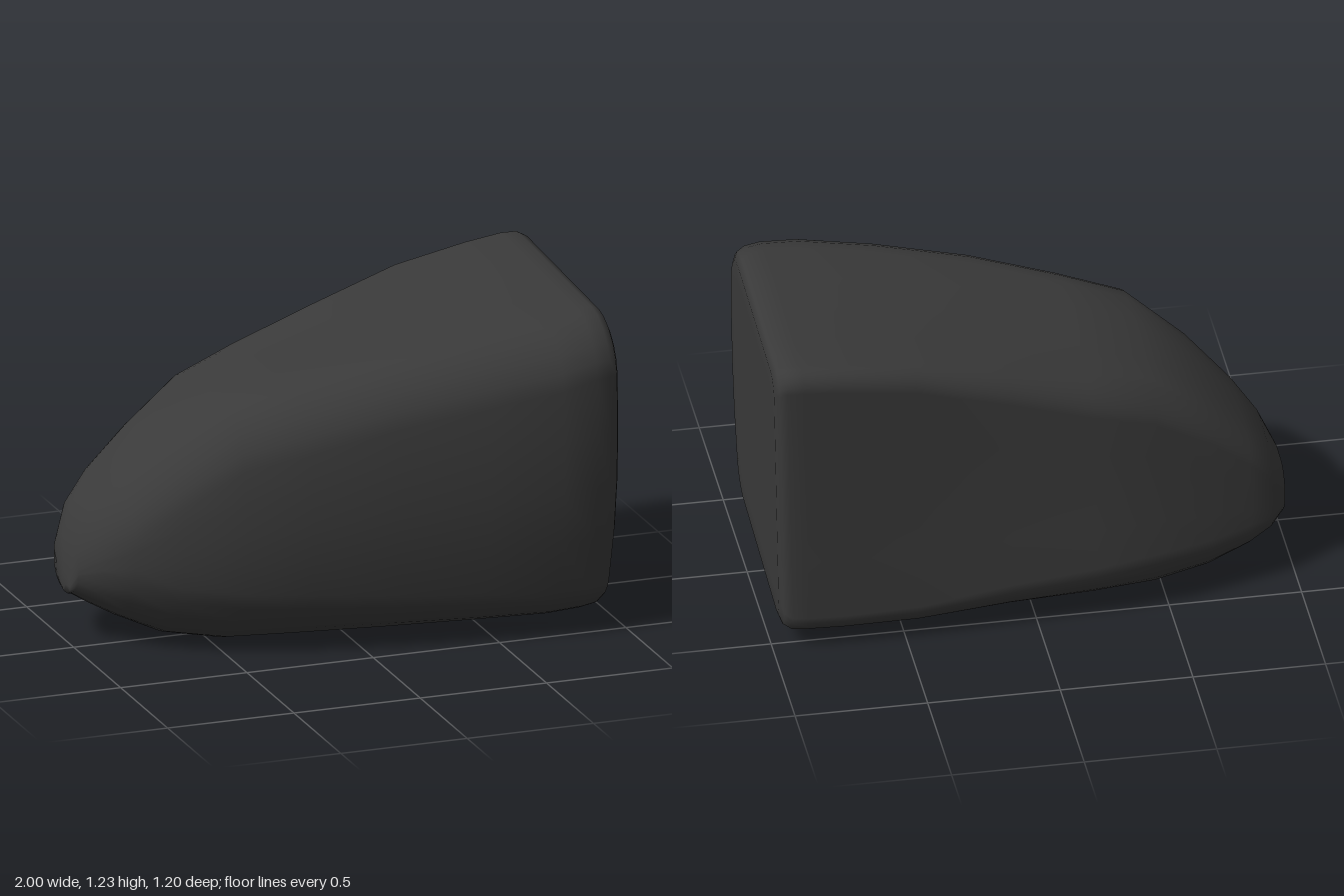
import * as THREE from 'three';

// Cross-sections along x: [x, bottom, top, back z, front z, front radius, back lean]
const SECTIONS = [
  [-1.00, 0.19, 0.25, -0.13, -0.04, 0.028, 0.00],
  [-0.98, 0.18, 0.39, -0.27, 0.00, 0.09, 0.01],
  [-0.92, 0.145, 0.515, -0.36, 0.10, 0.15, 0.03],
  [-0.83, 0.10, 0.63, -0.42, 0.20, 0.19, 0.05],
  [-0.67, 0.03, 0.80, -0.475, 0.295, 0.22, 0.08],
  [-0.46, 0.00, 0.965, -0.545, 0.39, 0.23, 0.10],
  [-0.22, 0.012, 1.03, -0.572, 0.457, 0.23, 0.08],
  [0.10, 0.03, 1.11, -0.574, 0.522, 0.22, 0.05],
  [0.45, 0.05, 1.18, -0.575, 0.57, 0.22, 0.01],
  [0.73, 0.06, 1.217, -0.573, 0.60, 0.21, -0.02],
  [0.87, 0.063, 1.235, -0.57, 0.577, 0.20, -0.03],
  [0.93, 0.068, 1.235, -0.568, 0.56, 0.20, -0.03],
  [0.96, 0.085, 1.22, -0.555, 0.54, 0.19, -0.03],
  [0.975, 0.12, 1.19, -0.52, 0.505, 0.17, -0.03],
];

// One rounded rectangle ring, with a bowed front, rounded belly and leaning back
function ring([x, y0, y1, z0, z1, rf, lean]) {
  const h = y1 - y0, w = z1 - z0, raw = [];
  // where the back leans in, its edges are softer, its top drops and the belly is rounder
  const soft = 0.87 * Math.max(0, lean);
  const rfLow = rf * (0.8 - 0.25 * x);
  const rb = Math.min(rf, 0.08 + 0.6 * soft);
  const rbLow = Math.min(rf, 0.08 + soft);
  // corner: side signs (z, y), radius, starting quarter
  const corners = [[1, 1, rf, 0], [-1, 1, rb, 1], [-1, -1, rbLow, 2], [1, -1, rfLow, 3]];
  for (const [sz, sy, r, q] of corners) {
    for (let i = 0; i <= 5; i++) {
      const a = (q + i / 5) * Math.PI / 2;
      raw.push([(sz > 0 ? z1 - r : z0 + r) + r * Math.cos(a),
        (sy > 0 ? y1 - r : y0 + r) + r * Math.sin(a)]);
    }
  }
  // add points along the straight sides
  const pts = [];
  raw.forEach((p, i) => {
    pts.push(p);
    if (i % 6 === 5) {
      const n = raw[(i + 1) % raw.length];
      for (const t of [0.25, 0.5, 0.75]) {
        pts.push([p[0] + (n[0] - p[0]) * t, p[1] + (n[1] - p[1]) * t]);
      }
    }
  });
  const slope = 0.02 + 0.015 * x;
  return pts.map(([z, y]) => {
    const u = (z - z0) / w, v = (y - y0) / h;
    const bow = (v < 0.5 ? 0.085 : 0.05) * h * Math.pow(2 * v - 1, 2) * u;
    const py = y + soft * Math.pow(2 * u - 1.15, 2) * (1 - v)
      - slope * w * u * v - soft * Math.pow(1 - u, 2) * v;
    const pz = z - bow + lean * v * (1 - u);
    const tilt = Math.max(0, x) * (0.014 * (py - 0.6) / 0.6 - 0.012 * pz / 0.6);
    return new THREE.Vector3(x + tilt, py, pz);
  });
}

const centre = (r) =>
  r.reduce((m, p) => m.add(p), new THREE.Vector3()).divideScalar(r.length);

// Skin the rings and close both ends
function loft(rings) {
  const pos = [], index = [], n = rings[0].length;
  const add = (p) => pos.push(p.x, p.y, p.z) / 3 - 1;
  rings.forEach((r) => r.forEach(add));
  for (let s = 0; s < rings.length - 1; s++) {
    for (let i = 0; i < n; i++) {
      const a = s * n + i, b = s * n + (i + 1) % n;
      index.push(a, a + n, b, b, a + n, b + n);
    }
  }
  const close = (s, flip) => {
    const c = add(centre(rings[s]));
    for (let i = 0; i < n; i++) {
      const a = s * n + i, b = s * n + (i + 1) % n;
      index.push(c, flip ? b : a, flip ? a : b);
    }
  };
  close(0, false);
  close(rings.length - 1, true);
  const g = new THREE.BufferGeometry();
  g.setAttribute('position', new THREE.Float32BufferAttribute(pos, 3));
  g.setIndex(index);
  g.computeVertexNormals();
  return g;
}

export function createModel() {
  const group = new THREE.Group();
  group.name = 'roundedStone';
  const rings = SECTIONS.map(ring);
  // small inset ring keeps the end face flat
  const last = rings[rings.length - 1];
  const mid = centre(last);
  rings.push(last.map((p) => p.clone().lerp(mid, 0.15)));
  const body = new THREE.Mesh(loft(rings), new THREE.MeshStandardMaterial({ color: 0x3a3a3a }));
  body.name = 'stoneBody';
  group.add(body);
  return group;
}
